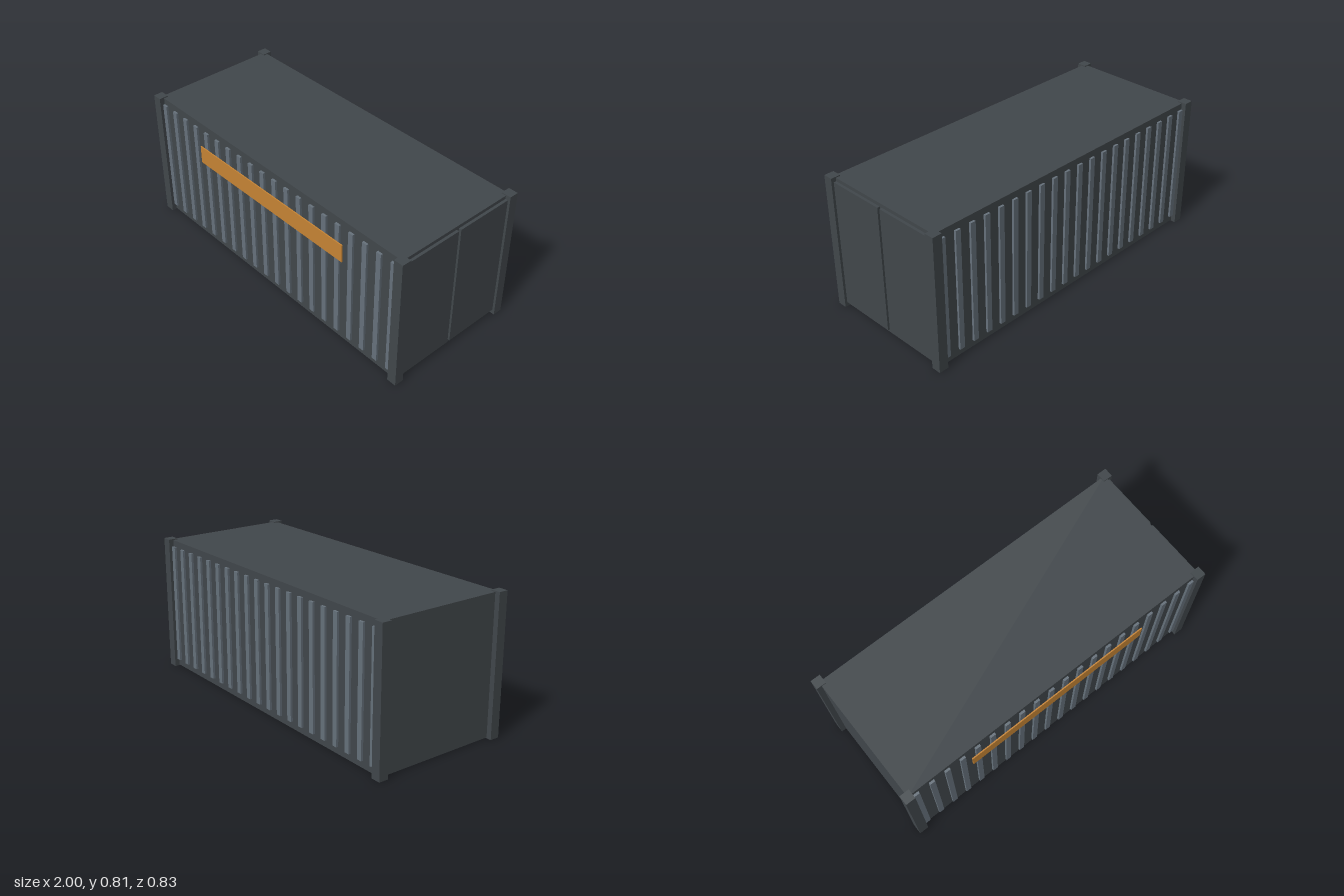
import * as THREE from 'three';

export function createModel() {
  const group = new THREE.Group();
  const steel = new THREE.MeshStandardMaterial({ color: 0x41474b });
  steel.name = 'dark steel';
  const ribSteel = new THREE.MeshStandardMaterial({ color: 0x66717b });
  ribSteel.name = 'light rib steel';
  const orange = new THREE.MeshStandardMaterial({ color: 0xc68434 });
  orange.name = 'orange stripe';

  // Box given by its lower and upper limits on each axis
  function box(name, material, [x0, x1], [y0, y1], [z0, z1]) {
    const mesh = new THREE.Mesh(new THREE.BoxGeometry(x1 - x0, y1 - y0, z1 - z0), material);
    mesh.position.set((x0 + x1) / 2, (y0 + y1) / 2, (z0 + z1) / 2);
    mesh.name = name;
    group.add(mesh);
  }
  // Limits mirrored to the chosen side
  const side = (s, a, b) => (s > 0 ? [a, b] : [-b, -a]);

  box('body', steel, [-0.97, 0.97], [0.005, 0.804], [-0.384, 0.384]);

  // Corner posts
  for (const sx of [-1, 1]) {
    for (const sz of [-1, 1]) {
      box('cornerPost', steel, side(sx, 0.943, 1), [0, 0.81], side(sz, 0.357, 0.413));
    }
  }

  // Vertical ribs along both long walls
  const ribs = 20;
  for (const sz of [-1, 1]) {
    for (let i = 0; i < ribs; i++) {
      const x = (i - (ribs - 1) / 2) * 0.0973;
      box('wallRib', ribSteel, [x - 0.016, x + 0.016], [0.046, 0.766], side(sz, 0.375, 0.397));
    }
  }

  // Pair of doors at one end
  for (const sz of [-1, 1]) {
    box('door', steel, [0.965, 0.986], [0.027, 0.784], side(sz, 0.008, 0.37));
  }

  // Painted stripe on the front wall
  box('stripe', orange, [-0.582, 0.58], [0.554, 0.662], [0.397, 0.404]);

  return group;
}
